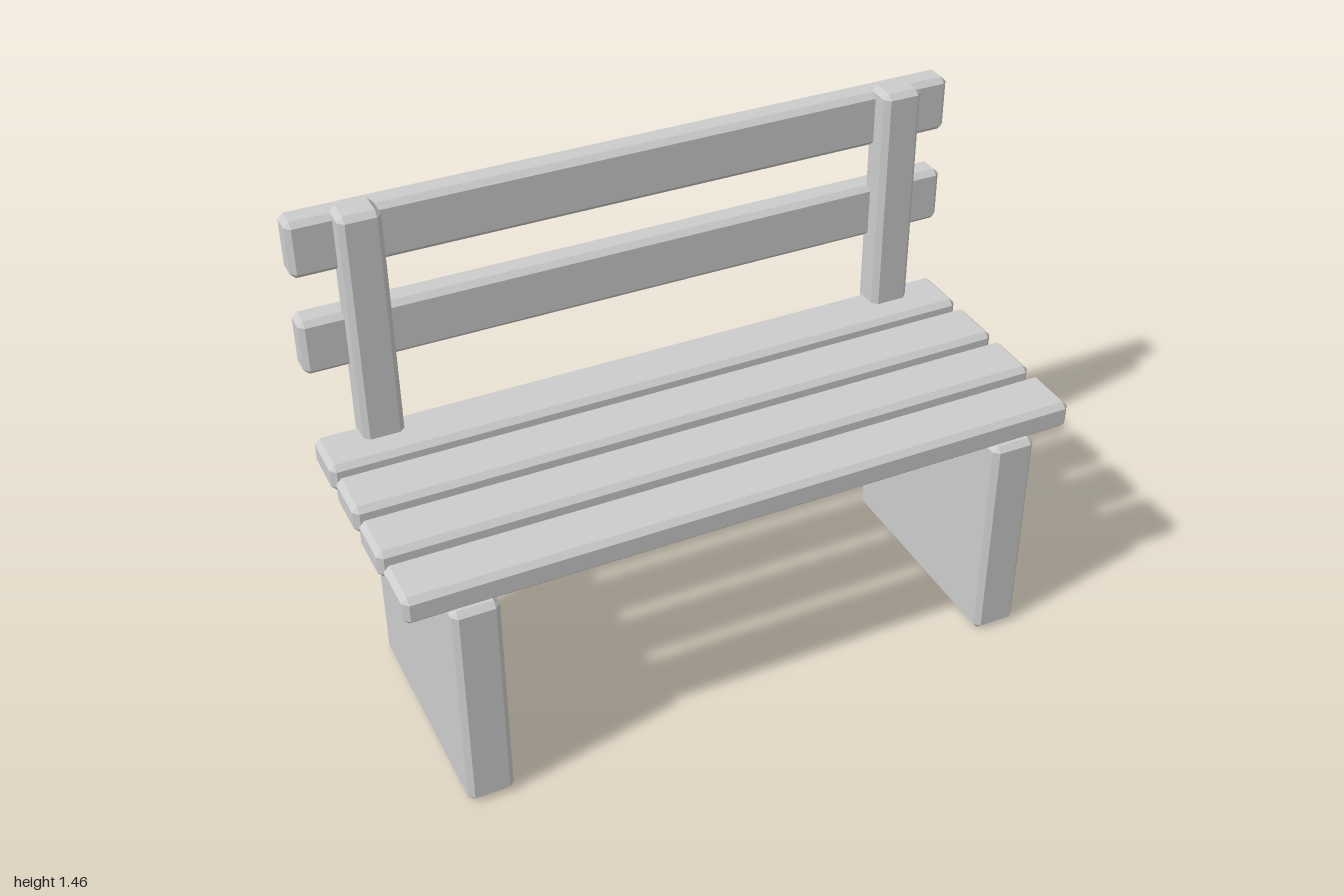
import * as THREE from 'three';
import { ConvexGeometry } from 'three/addons/geometries/ConvexGeometry.js';

const CHAMFER = 0.016;

// Box with every edge bevelled flat, given by its min/max extents
function chamferedBox([x0, x1], [y0, y1], [z0, z1]) {
  const half = [(x1 - x0) / 2, (y1 - y0) / 2, (z1 - z0) / 2];
  const points = [];
  for (const sx of [-1, 1]) for (const sy of [-1, 1]) for (const sz of [-1, 1]) {
    // each corner becomes three points, one on each adjoining face
    for (let face = 0; face < 3; face++) {
      const [x, y, z] = half.map((h, axis) => (axis === face ? h : h - CHAMFER));
      points.push(new THREE.Vector3(sx * x, sy * y, sz * z));
    }
  }
  const geometry = new ConvexGeometry(points);
  geometry.translate((x0 + x1) / 2, (y0 + y1) / 2, (z0 + z1) / 2);
  return geometry;
}

export function createModel() {
  const bench = new THREE.Group();
  bench.name = 'bench';
  const paint = new THREE.MeshStandardMaterial({ color: 0xcccccc });
  paint.name = 'light grey';

  const add = (name, x, y, z) => {
    const mesh = new THREE.Mesh(chamferedBox(x, y, z), paint);
    mesh.name = name;
    bench.add(mesh);
  };

  // Slab legs and back posts, mirrored left and right
  for (const [side, s] of [['left', 1], ['right', -1]]) {
    const cx = s * 0.814;
    add(`${side}Leg`, [cx - 0.067, cx + 0.067], [0, 0.682], [-0.28, 0.43]);
    add(`${side}BackPost`, [cx - 0.06, cx + 0.06], [0.65, 1.463], [-0.384, -0.283]);
  }

  // Four seat slats, front to back
  for (let i = 0; i < 4; i++) {
    const z = 0.328 - i * 0.2035;
    add(`seatSlat${i + 1}`, [-1, 1], [0.675, 0.76], [z - 0.085, z + 0.085]);
  }

  // Two backrest slats behind the posts
  [['lower', 1.057], ['upper', 1.362]].forEach(([level, y]) => {
    add(`${level}BackSlat`, [-1, 1], [y - 0.085, y + 0.085], [-0.43, -0.345]);
  });

  return bench;
}
